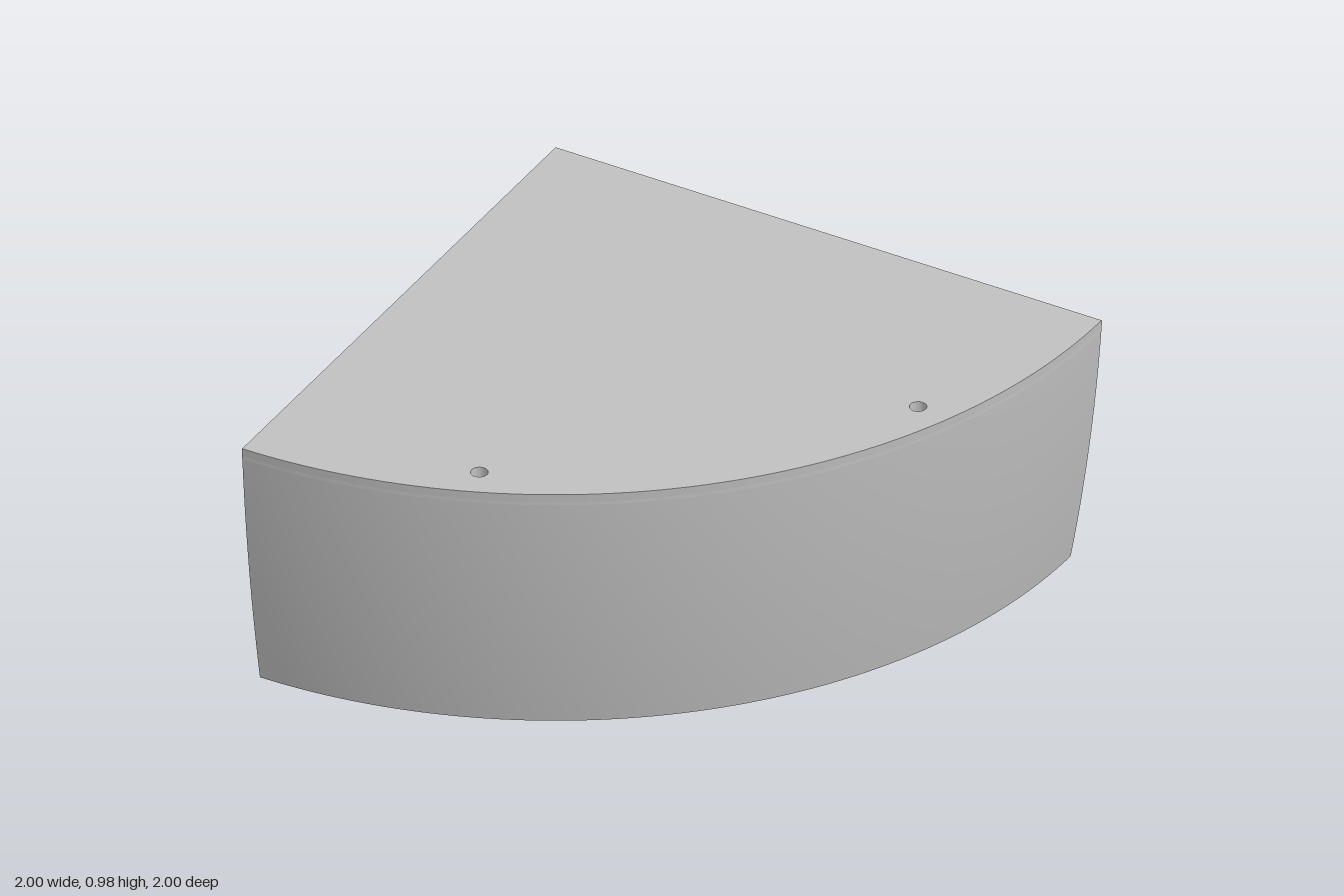
import * as THREE from 'three';
import { toCreasedNormals } from 'three/addons/utils/BufferGeometryUtils.js';

const TOP = 0.98, BASE = 0.045, WALL = 0.04, RIM = 0.145, SEGMENTS = 64;
const QUARTER = Math.PI / 2;

// Bulged radius of the outer wall at height y
function outerRadius(y) {
  const t = (y - BASE) / (TOP - BASE);
  return 1.885 + 0.115 * t + 0.056 * t * (1 - t);
}

// Cross-section (radius, height) moved inwards by d: outer wall going up, inner wall going down
function section(d) {
  const outer = [], steps = 14;
  for (let i = 0; i <= steps; i++) {
    const y = BASE + d + (TOP - BASE - 2 * d) * i / steps;
    outer.push(new THREE.Vector2(outerRadius(y) - d, y));
  }
  const inner = [
    [0.885 + d, TOP - d], [0.885 + d, 0.51 + d], [0.92 + d, 0.51 + d], [0.92 + d, 0.22 + 0.66 * d],
  ];
  if (d > 0) inner.push([1.32 + 0.1 * d, BASE + d]);
  else inner.push([1.225, 0.09], [1.25, 0.065], [1.27, 0], [1.27, BASE]); // flared lip
  return { outer, inner: inner.map(([r, y]) => new THREE.Vector2(r, y)) };
}

const outline = (d) => {
  const s = section(d);
  return [...s.outer, ...s.inner];
};

function shapeWithHole(points, hole) {
  const shape = new THREE.Shape(points);
  shape.holes.push(new THREE.Path([...hole].reverse()));
  return shape;
}

function circleHole(x, z, radius) {
  const hole = new THREE.Path();
  hole.absarc(x, z, radius, 0, Math.PI * 2, true);
  return hole;
}

// Horizontal slab whose upper side lies at the given height
function slab(shape, height) {
  const geometry = new THREE.ExtrudeGeometry(shape, { depth: WALL, bevelEnabled: false, curveSegments: SEGMENTS });
  geometry.rotateX(Math.PI / 2).translate(0, height, 0);
  return toCreasedNormals(geometry, 0.5);
}

function quarterTurn(points) {
  return toCreasedNormals(new THREE.LatheGeometry(points, SEGMENTS, 0, QUARTER), 0.3);
}

export function createModel() {
  const group = new THREE.Group();
  group.name = 'quarterRoundShell';
  const body = new THREE.Group();
  body.position.set(-1, 0, -1); // axis of the quarter turn
  group.add(body);

  const grey = new THREE.MeshStandardMaterial({ color: 0xc0c0c0, side: THREE.DoubleSide });
  grey.name = 'grey';
  const add = (name, geometry, parent = body) => {
    const mesh = new THREE.Mesh(geometry, grey);
    mesh.name = name;
    parent.add(mesh);
    return mesh;
  };

  // Curved walls, outside and towards the cavity
  const skin = section(0), cavity = section(WALL);
  add('outerWall', quarterTurn(skin.outer));
  add('innerWall', quarterTurn(skin.inner));
  add('cavityOuterWall', quarterTurn([...cavity.outer].reverse()));
  add('cavityInnerWall', quarterTurn([...cavity.inner].reverse()));

  // Top plate with two small holes
  const top = new THREE.Shape();
  top.moveTo(0, 0);
  top.lineTo(1.998, 0);
  top.absarc(0, 0, 1.998, 0, QUARTER, false);
  top.lineTo(0, 0);
  top.holes.push(circleHole(1.74, 0.72, 0.028), circleHole(0.72, 1.74, 0.028));
  add('topPlate', slab(top, TOP));

  // Floor with one larger hole
  const floor = new THREE.Shape();
  floor.absarc(0, 0, 1.885, 0, QUARTER, false);
  floor.absarc(0, 0, 1.27, QUARTER, 0, true);
  floor.holes.push(circleHole(1.177, 1.177, 0.083));
  add('floor', slab(floor, BASE + WALL));

  // Cut ends: wall edges and a window frame set flush with them
  const edge = shapeWithHole(outline(0), outline(WALL));
  const frame = shapeWithHole(outline(WALL), outline(RIM));
  for (const side of ['back', 'right']) {
    const end = new THREE.Group();
    end.name = side + 'End';
    add(side + 'WallEdge', new THREE.ShapeGeometry(edge), end);
    const window = add(side + 'WindowFrame', new THREE.ExtrudeGeometry(frame, { depth: WALL, bevelEnabled: false }), end);
    if (side === 'right') {
      end.rotation.y = -QUARTER;
      window.position.z = -WALL;
    }
    body.add(end);
  }
  return group;
}
